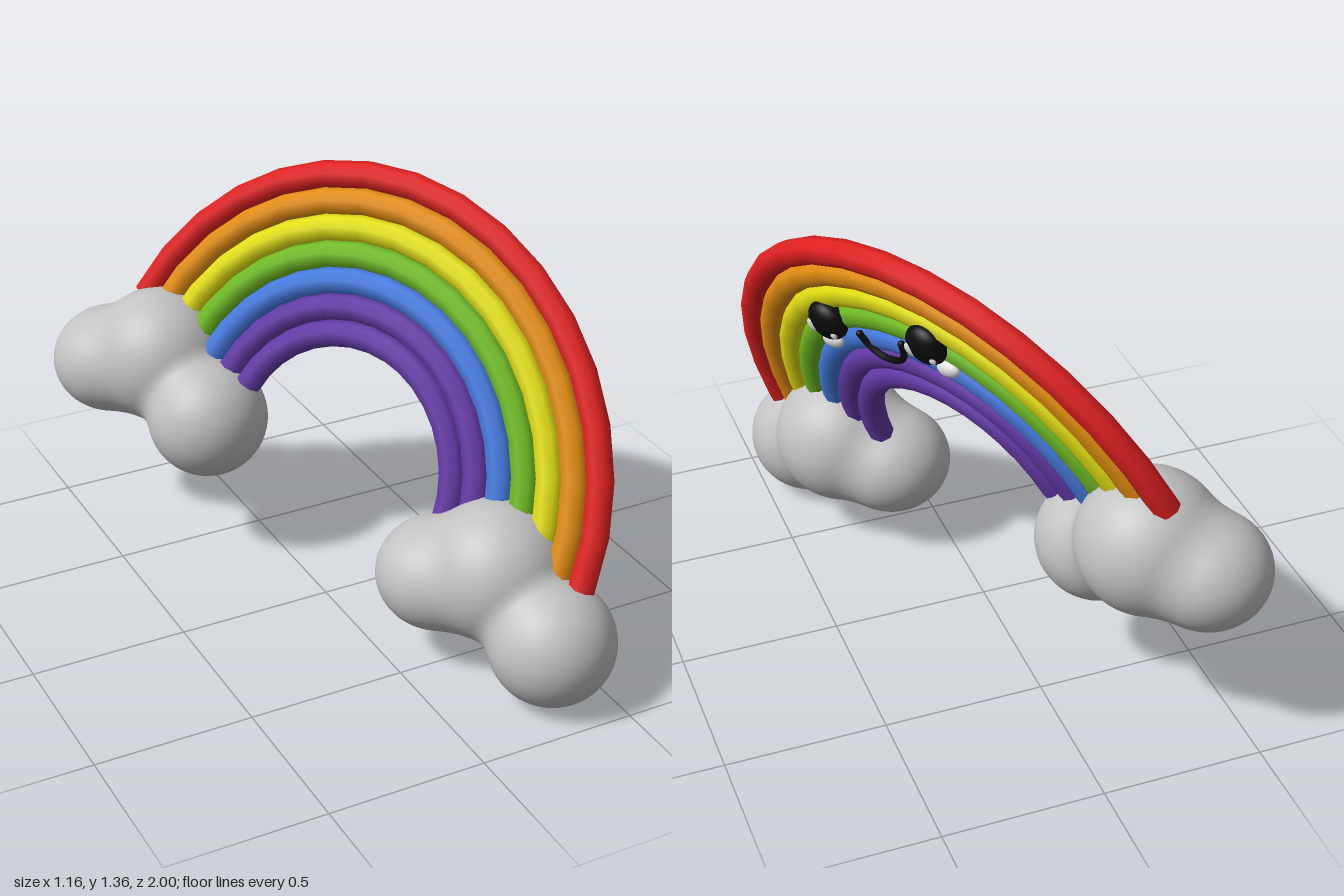
import * as THREE from 'three';
import { mergeGeometries, mergeVertices } from 'three/addons/utils/BufferGeometryUtils.js';

const material = (name, color) => {
  const m = new THREE.MeshStandardMaterial({ color });
  m.name = name;
  return m;
};

const cloudGrey = material('cloud grey', 0xc2c2c2);
const white = material('soft white', 0xe4e4e4);
const black = material('face black', 0x0c0c0c);
const purple = material('purple', 0x6339a6);
const bands = [
  ['violetBand', purple],
  ['indigoBand', purple],
  ['blueBand', material('blue', 0x447ade)],
  ['greenBand', material('green', 0x6fbb22)],
  ['yellowBand', material('yellow', 0xe2de12)],
  ['orangeBand', material('orange', 0xe28d10)],
  ['redBand', material('red', 0xe02020)],
];

function addMesh(parent, name, geometry, mat, position = [0, 0, 0], scale = [1, 1, 1]) {
  const mesh = new THREE.Mesh(geometry, mat);
  mesh.name = name;
  mesh.position.set(...position);
  mesh.scale.set(...scale);
  parent.add(mesh);
  return mesh;
}

// Capped arc of tube, centred on the origin in the xy plane
function bandGeometry(radius, tube, start, end) {
  const arc = new THREE.TorusGeometry(radius, tube, 8, 16, end - start).rotateZ(start);
  const cap = (angle, side) => new THREE.CircleGeometry(tube, 8)
    .rotateX(side * Math.PI / 2).translate(radius, 0, 0).rotateZ(angle);
  return mergeGeometries([arc, cap(start, 1), cap(end, -1)]);
}

// Three puffs softly blended into one skin, traced outwards from the middle puff
function cloudGeometry() {
  const puffs = [
    { c: new THREE.Vector3(0, 0, 0), r: 0.222, squash: 1 },
    { c: new THREE.Vector3(0.055, -0.135, 0.235), r: 0.195, squash: 1 },
    { c: new THREE.Vector3(-0.125, -0.045, -0.13), r: 0.193, squash: 0.9 },
  ];
  const blend = 0.05;
  const q = new THREE.Vector3();
  const distance = (p) => puffs.reduce((d, { c, r, squash }) => {
    q.subVectors(p, c);
    q.y /= squash;
    const e = q.length() - r;
    const h = Math.max(blend - Math.abs(d - e), 0) / blend;
    return Math.min(d, e) - h * h * blend / 4;
  }, 10);

  let geometry = new THREE.IcosahedronGeometry(1, 22);
  geometry.deleteAttribute('uv');
  geometry.deleteAttribute('normal');
  geometry = mergeVertices(geometry);
  const pos = geometry.attributes.position;
  const dir = new THREE.Vector3();
  const p = new THREE.Vector3();
  for (let i = 0; i < pos.count; i++) {
    dir.fromBufferAttribute(pos, i).normalize();
    let inside = 0, outside = 0.7;
    for (let step = 0; step < 22; step++) {
      const mid = (inside + outside) / 2;
      if (distance(p.copy(dir).multiplyScalar(mid)) < 0) inside = mid;
      else outside = mid;
    }
    p.copy(dir).multiplyScalar(inside);
    pos.setXYZ(i, p.x, p.y, p.z);
  }
  geometry.computeVertexNormals();
  return geometry;
}

export function createModel() {
  const model = new THREE.Group();
  model.name = 'rainbowWithClouds';

  // Rainbow, built facing +z and then tilted into its leaning pose
  const rainbow = new THREE.Group();
  rainbow.name = 'rainbow';
  const facing = new THREE.Vector3(0.831, -0.336, -0.444).normalize();
  const across = new THREE.Vector3(-0.377, 0.249, -0.892);
  const up = new THREE.Vector3().crossVectors(facing, across).normalize();
  across.crossVectors(up, facing);
  rainbow.quaternion.setFromRotationMatrix(new THREE.Matrix4().makeBasis(across, up, facing));
  rainbow.position.set(0.033, 0.48, 0.014);
  model.add(rainbow);

  const start = THREE.MathUtils.degToRad(7);
  const end = THREE.MathUtils.degToRad(172);
  bands.forEach(([name, mat], i) => {
    addMesh(rainbow, name, bandGeometry(0.412 + 0.082 * i, 0.043, start, end), mat);
  });

  // Eyes with two glints each, and a cheek below
  const face = new THREE.Group();
  face.name = 'face';
  face.position.set(0.015, 0, 0);
  rainbow.add(face);
  const ball = new THREE.SphereGeometry(1, 24, 16);
  for (const side of [-1, 1]) {
    const x = side * 0.23, y = 0.64;
    addMesh(face, 'eye', ball, black, [x, y, 0.045], [0.07, 0.07, 0.045]);
    addMesh(face, 'largeGlint', ball, white, [x - 0.036, y + 0.002, 0.079], [0.022, 0.026, 0.01]);
    addMesh(face, 'smallGlint', ball, white, [x + 0.036, y - 0.031, 0.075], [0.012, 0.015, 0.008]);
    addMesh(face, 'cheek', ball, white, [side * 0.27, 0.55, 0.045], [0.045, 0.028, 0.02]);
  }

  // Smile
  const smile = new THREE.CatmullRomCurve3([
    [-0.098, 0.612], [-0.08, 0.565], [-0.045, 0.535], [0, 0.527],
    [0.045, 0.535], [0.08, 0.565], [0.098, 0.612],
  ].map(([x, y]) => new THREE.Vector3(x, y, 0.045)));
  addMesh(face, 'mouth', new THREE.TubeGeometry(smile, 28, 0.011, 8), black);
  for (const x of [-0.098, 0.098]) {
    addMesh(face, 'mouthCorner', ball, black, [x, 0.612, 0.045], [0.011, 0.011, 0.011]);
  }

  // Matching clouds at both ends
  const cloud = cloudGeometry();
  addMesh(model, 'nearCloud', cloud, cloudGrey, [0.285, 0.335, 0.57]);
  addMesh(model, 'farCloud', cloud, cloudGrey, [-0.26, 0.625, -0.675]);

  return model;
}
